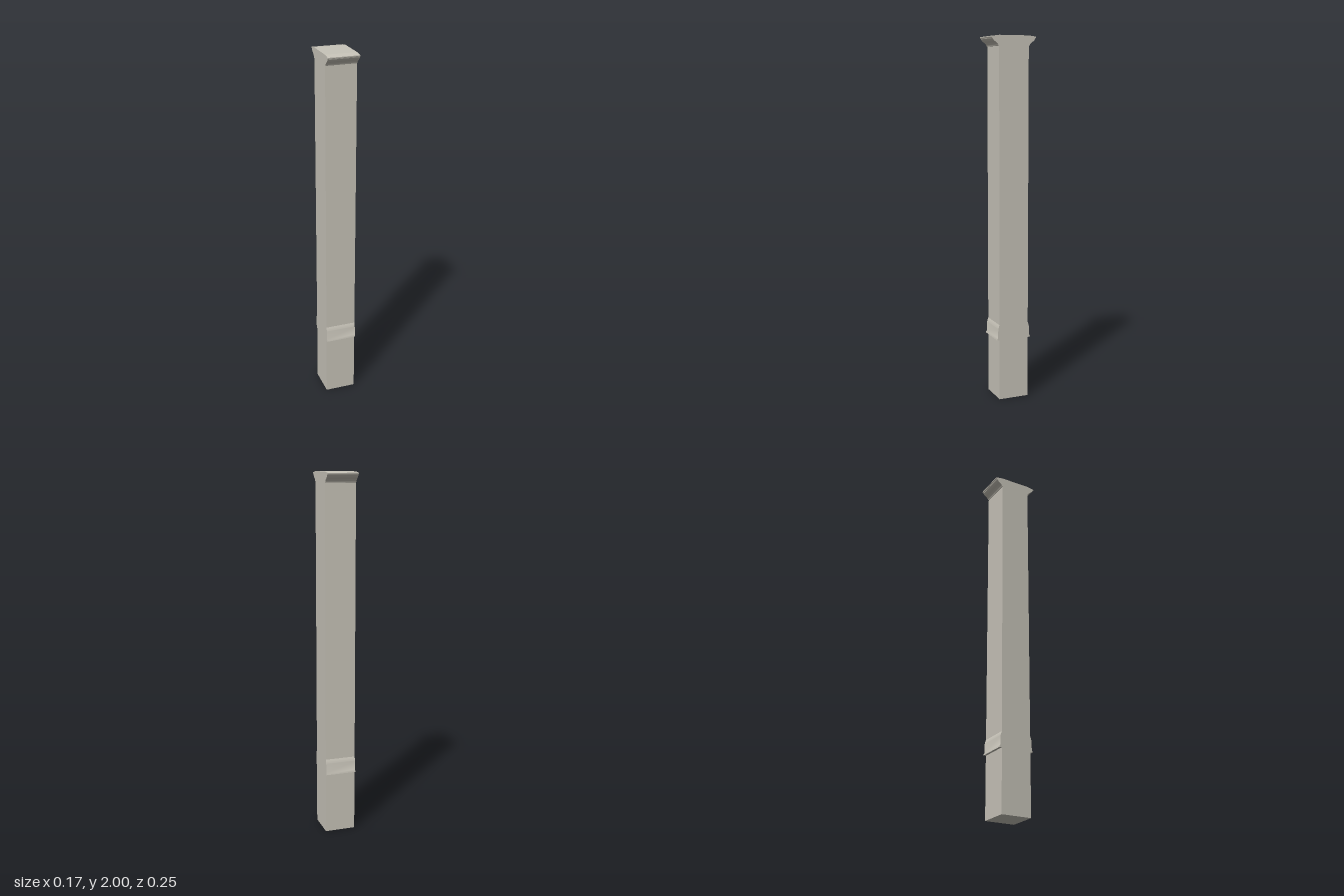
import * as THREE from 'three';
import { toCreasedNormals } from 'three/addons/utils/BufferGeometryUtils.js';

const WIDTH = 0.17, HALF = 0.085;

// Extrudes a (z, y) moulding profile across the full width of the post
function moulding(shape) {
  const geo = new THREE.ExtrudeGeometry(shape, { depth: WIDTH, bevelEnabled: false, curveSegments: 6 });
  geo.translate(0, 0, -WIDTH / 2);
  geo.rotateY(-Math.PI / 2);
  return toCreasedNormals(geo, 0.6);
}

// Flared crown: small foot, hollow curve, thin lip, slightly sloping top
function crownShape() {
  const s = new THREE.Shape();
  s.moveTo(HALF, 1.944);
  s.lineTo(0.088, 1.945);
  s.quadraticCurveTo(0.092, 1.957, 0.106, 1.966);
  s.quadraticCurveTo(0.119, 1.974, 0.123, 1.986);
  s.lineTo(0.127, 1.988);
  s.lineTo(0.127, 1.994);
  s.lineTo(HALF, 2);
  s.closePath();
  return s;
}

// Lower band: sloping shoulder, upright face, small drip edge
function bandShape() {
  const s = new THREE.Shape();
  s.moveTo(HALF, 0.343);
  s.lineTo(0.099, 0.343);
  s.lineTo(0.099, 0.348);
  s.lineTo(0.094, 0.356);
  s.lineTo(0.093, 0.402);
  s.quadraticCurveTo(0.091, 0.416, HALF, 0.43);
  s.closePath();
  return s;
}

export function createModel() {
  const group = new THREE.Group();
  group.name = 'post';
  const stone = new THREE.MeshStandardMaterial({ color: 0xc8c4b9 });
  stone.name = 'pale stone';

  const shaft = new THREE.Mesh(new THREE.BoxGeometry(WIDTH, 2, WIDTH), stone);
  shaft.name = 'shaft';
  shaft.position.y = 1;
  group.add(shaft);

  // Matching mouldings on the front and back faces
  const parts = { Crown: moulding(crownShape()), Band: moulding(bandShape()) };
  for (const [name, geo] of Object.entries(parts)) {
    for (const side of ['front', 'back']) {
      const mesh = new THREE.Mesh(geo, stone);
      mesh.name = side + name;
      if (side === 'back') mesh.rotation.y = Math.PI;
      group.add(mesh);
    }
  }
  return group;
}
